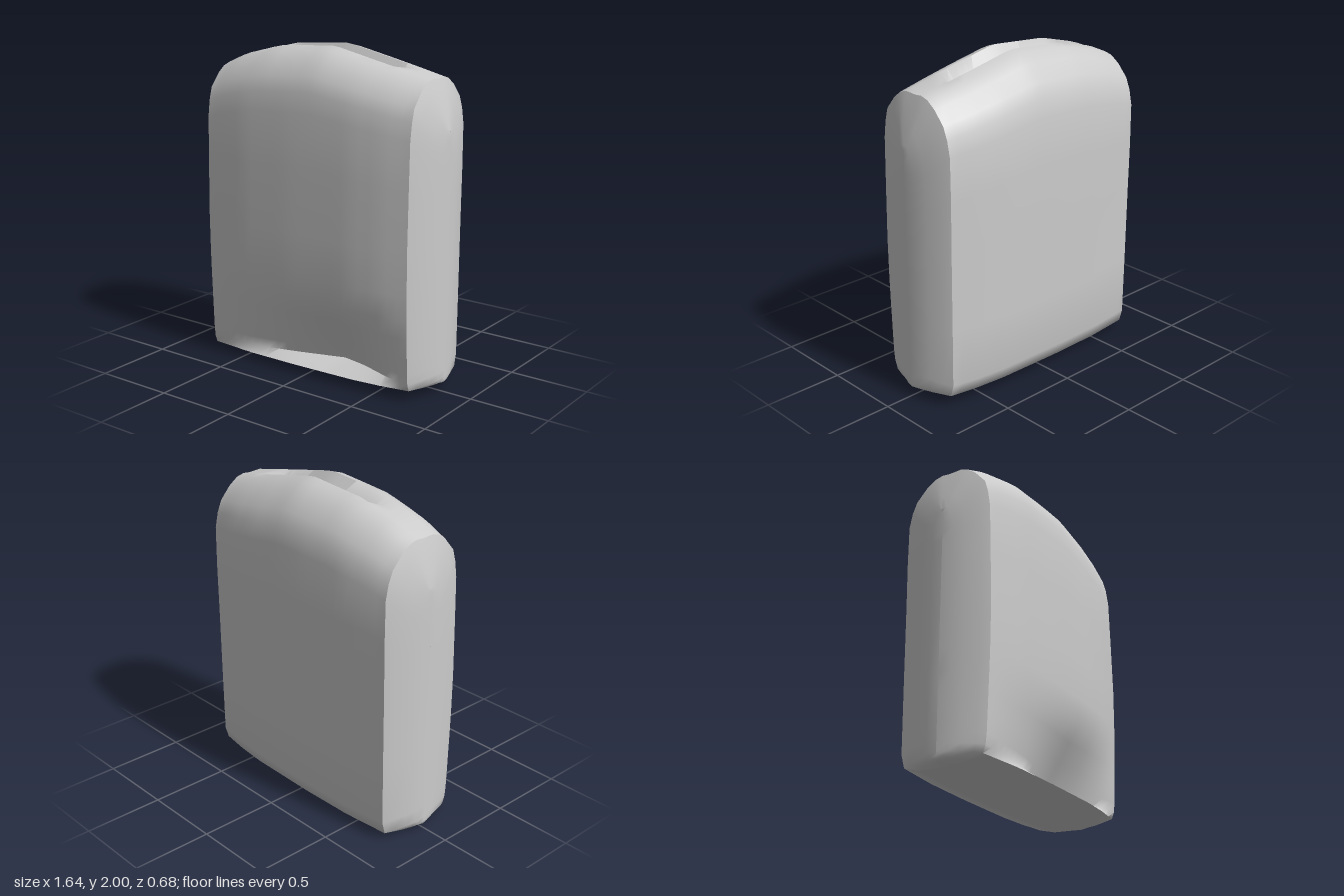
import * as THREE from 'three';
import { toCreasedNormals } from 'three/addons/utils/BufferGeometryUtils.js';

// piecewise linear lookup through [position, value] pairs
function lookup(points, t) {
  if (t <= points[0][0]) return points[0][1];
  for (let i = 1; i < points.length; i++) {
    const [a, u] = points[i - 1], [b, v] = points[i];
    if (t <= b) return u + (v - u) * (t - a) / (b - a);
  }
  return points[points.length - 1][1];
}

const clamp = (v) => Math.min(1, Math.max(0, v));

// closed outline of the middle section as [z, y]: up the back, over the top, down the front
const OUTLINE = [
  [0, 0], [-0.18, 0.01], [-0.3, 0.04], [-0.325, 0.12], [-0.33, 0.5], [-0.335, 1], [-0.34, 1.35], [-0.338, 1.65],
  [-0.315, 1.76], [-0.28, 1.845], [-0.2, 1.935], [-0.13, 1.985], [-0.07, 2],
  [-0.015, 1.995],
  [0.08, 2], [0.14, 1.98], [0.2, 1.935], [0.28, 1.84], [0.305, 1.75], [0.322, 1.63], [0.33, 1.3],
  [0.338, 0.9], [0.335, 0.65], [0.33, 0.5], [0.325, 0.38], [0.32, 0.25], [0.315, 0.14], [0.308, 0.08],
  [0.29, 0.035], [0.16, 0.01],
];
const GROOVE = 13;

const TOP = [[-0.75, 1.835], [-0.6, 1.9], [-0.33, 1.97], [0.07, 2], [0.73, 1.86]];
const DEPTH = [[-0.75, 0.85], [-0.45, 0.96], [-0.1, 1], [0.35, 1], [0.55, 0.95], [0.73, 0.86]];
const DENT = [[-0.72, 0], [-0.3, 0.35], [0.18, 1], [0.35, 0.8], [0.71, 0]];
const SLIT = [[-0.44, 0], [-0.3, 0.08], [0.1, 0.1], [0.42, 0.09], [0.54, 0]];

// one section of the pouch at x
function section(x) {
  const top = lookup(TOP, x), depth = lookup(DEPTH, x);
  return OUTLINE.map(([z0, y0], i) => {
    let y = y0 > 1 ? 1 + (y0 - 1) * (top - 1) : y0;
    let z = z0 * depth;
    if (i === GROOVE) y -= lookup(SLIT, x);
    // the lower front is pushed in above the bottom lip
    if (z0 > 0.3 && y0 < 0.6) z -= 0.2 * lookup(DENT, x) * clamp((0.52 - y0) / 0.42);
    y += 0.017 * (1 + x / 0.75) * clamp(1 - y0 / 0.5);
    return [x, y, z];
  });
}

// skin over neighbouring rings, ordered by growing x
function skin(rings) {
  const n = rings[0].length, index = [];
  for (let i = 0; i < rings.length - 1; i++) {
    for (let j = 0; j < n; j++) {
      const a = i * n + j, b = i * n + (j + 1) % n;
      index.push(a, b, a + n, b, b + n, a + n);
    }
  }
  const geometry = new THREE.BufferGeometry();
  geometry.setAttribute('position', new THREE.Float32BufferAttribute(rings.flat(2), 3));
  geometry.setIndex(index);
  return toCreasedNormals(geometry, 1.1);
}

// rings of a side panel, shrinking outwards from an end section
function gussetRings(x, side) {
  const end = section(x);
  // outward bulge, depth scale, upper scale, lower scale
  const steps = [[0, 1, 1, 1], [0.025, 0.83, 0.92, 0.99], [0.055, 0.5, 0.8, 0.98],
    [0.075, 0.25, 0.71, 0.97], [0.08, 0, 0.68, 0.96]];
  return steps.map(([out, deep, up, low]) => end.map(([px, y, z]) =>
    [px + side * out, 0.9 + (y - 0.9) * (y > 0.9 ? up : low), z * deep]));
}

export function createModel() {
  const group = new THREE.Group();
  group.name = 'pouch';
  const grey = new THREE.MeshStandardMaterial({ color: 0xcccccc, side: THREE.DoubleSide });
  grey.name = 'light grey';

  const add = (name, rings) => {
    const mesh = new THREE.Mesh(skin(rings), grey);
    mesh.name = name;
    group.add(mesh);
  };

  // main body with pinched top and dented front
  const stations = [];
  for (let i = 0; i <= 24; i++) stations.push(-0.75 + 1.48 * i / 24);
  add('body', stations.map(section));

  // bulging side panels
  add('leftGusset', gussetRings(0.73, 1.1));
  add('rightGusset', gussetRings(-0.75, -0.9).reverse());

  return group;
}
